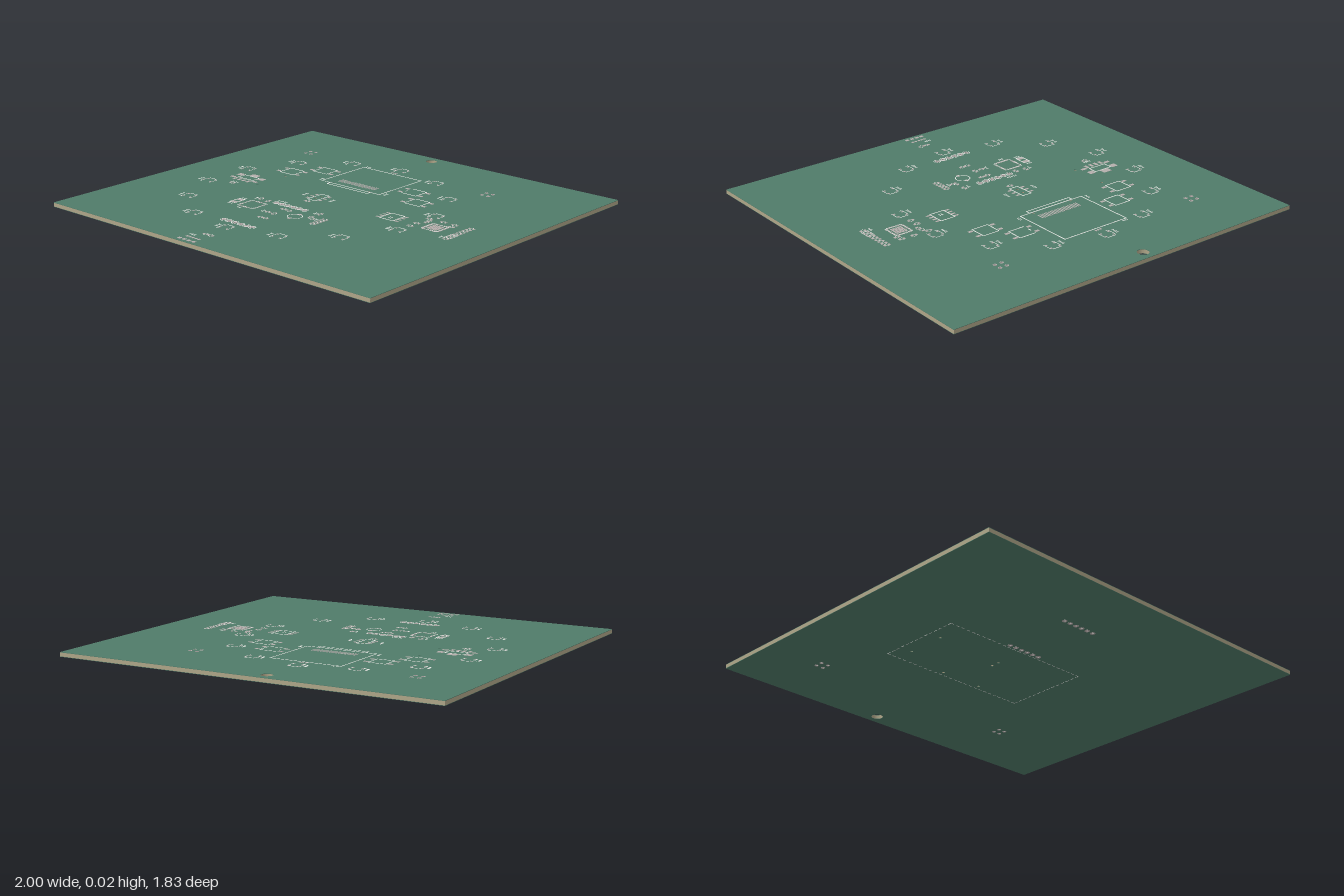
import * as THREE from 'three';

const mat = (name, color) => Object.assign(new THREE.MeshStandardMaterial({ color }), { name });
const MASK = mat('solder mask green', 0x507b69);
const CORE = mat('laminate tan', 0xaea588);
const SILK = mat('silkscreen white', 0xeef0ec);
const PAD = mat('pad metal', 0xb5aeac);

const HALF_Z = 0.917, TOP = 0.023, H = 0.0006, LINE = 0.005;
const CX = -0.105, CZ = 0.011; // centre of the light ring

function group(parent, name, x = 0, z = 0, turn = 0) {
  const g = new THREE.Group();
  g.name = name;
  g.position.set(x, 0, z);
  g.rotation.y = turn;
  parent.add(g);
  return g;
}

function mesh(parent, name, geo, material) {
  const m = new THREE.Mesh(geo, material);
  m.name = name;
  parent.add(m);
  return m;
}

// Thin plate lying on the board
function plate(g, name, material, x, z, w, d, y = TOP) {
  mesh(g, name, new THREE.BoxGeometry(w, H * 2, d), material).position.set(x, y, z);
}
const pad = (g, x, z, w, d) => plate(g, 'pad', PAD, x, z, w, d);
const line = (g, x, z, w, d) => plate(g, 'printedLine', SILK, x, z, w, d);

// Printed rectangle
function outline(g, x, z, w, d, y = TOP, t = LINE) {
  for (const s of [-1, 1]) {
    plate(g, 'printedLine', SILK, x, z + s * d / 2, w + t, t, y);
    plate(g, 'printedLine', SILK, x + s * w / 2, z, t, d, y);
  }
}

// Small block of printed dashes beside a part
function marks(g, x, z, w, d) {
  const along = d > w, n = Math.max(2, Math.round(Math.max(w, d) / 0.011));
  for (let i = 0; i < n; i++) {
    const o = (i + 0.5) / n - 0.5;
    if (along) line(g, x, z + o * d, w, 0.005);
    else line(g, x + o * w, z, 0.005, d);
  }
}

// Evenly spaced row of pads
function padRow(g, n, x, z, dx, dz, w, d) {
  for (let i = 0; i < n; i++) {
    const o = i - (n - 1) / 2;
    pad(g, x + o * dx, z + o * dz, w, d);
  }
}

// Two-pad footprint
function passive(parent, x, z, turned = false) {
  const g = group(parent, 'smallFootprint', x, z, turned ? Math.PI / 2 : 0);
  padRow(g, 2, 0, 0, 0.022, 0, 0.013, 0.015);
  for (const s of [-1, 1]) line(g, 0, s * 0.011, 0.012, 0.003);
}

function ring(g, name, material, x, z, inner, outer, y0, y1) {
  const p = [[inner, y0], [outer, y0], [outer, y1], [inner, y1], [inner, y0]];
  const m = mesh(g, name, new THREE.LatheGeometry(p.map(q => new THREE.Vector2(...q)), 24).toNonIndexed(), material);
  m.geometry.computeVertexNormals();
  m.position.set(x, 0, z);
}

// Board sheet with the drilled holes
function sheet(parent, name, material, y, thickness, holes) {
  const s = new THREE.Shape([[-1, -HALF_Z], [1, -HALF_Z], [1, HALF_Z], [-1, HALF_Z]].map(p => new THREE.Vector2(...p)));
  for (const [x, z, r] of holes) {
    s.holes.push(new THREE.Path().absarc(x, -z, r, 0, Math.PI * 2, true));
  }
  const geo = new THREE.ExtrudeGeometry(s, { depth: thickness, bevelEnabled: false, curveSegments: 16 });
  mesh(parent, name, geo.rotateX(-Math.PI / 2), material).position.y = y;
}

export function createModel() {
  const model = new THREE.Group();
  model.name = 'circuitBoard';

  // Drilled holes: mounting, locating, and plated ones
  const plain = [[CX, -0.86, 0.029], [-0.485, -0.155, 0.007], [-0.485, 0.045, 0.007],
    [-0.22, -0.227, 0.007], [0.01, -0.227, 0.007], [CX, -0.008, 0.007], [CX, 0.035, 0.007]];
  const plated = [], pins = [];
  for (const x of [-0.69, 0.477]) for (const sx of [-1, 1]) for (const sz of [-1, 1]) {
    plated.push([x + sx * 0.019, -0.568 + sz * 0.019, 0.008]);
  }
  for (const z of [0.212, 0.565]) for (let i = 0; i < 6; i++) pins.push([CX + (i - 2.5) * 0.0366, z, 0.007]);

  // Laminate and both mask layers
  const holes = [...plain, ...plated, ...pins];
  sheet(model, 'laminateCore', CORE, 0.0025, 0.0185, holes);
  sheet(model, 'topMask', MASK, 0.021, 0.002, holes);
  sheet(model, 'bottomMask', MASK, 0.0006, 0.0019, holes);

  // Plated holes and pin headers
  const barrels = group(model, 'platedHoles');
  for (const [x, z, r] of plated) ring(barrels, 'platedHole', PAD, x, z, r - 0.001, r + 0.002, 0, TOP + H);
  for (const [x, z, r] of pins) {
    ring(barrels, 'pinHole', PAD, x, z, r - 0.001, 0.013, 0, TOP + H);
    ring(barrels, 'pinOutline', SILK, x, z, 0.016, 0.019, TOP - H, TOP + H);
  }
  marks(barrels, -0.185, 0.178, 0.06, 0.014);

  // Ring of fourteen lights
  for (let i = 0; i < 14; i++) {
    const a = i * Math.PI / 7;
    const g = group(model, 'lightFootprint', CX + 0.63 * Math.sin(a), CZ - 0.63 * Math.cos(a));
    for (const sx of [-1, 1]) {
      for (const sz of [-1, 1]) pad(g, sx * 0.025, sz * 0.018, 0.014, 0.01);
      line(g, sx * 0.031, 0.004, 0.003, 0.05);
    }
    line(g, 0, -0.03, 0.05, 0.004);
    line(g, -0.025, 0.032, 0.014, 0.004);
    marks(g, -0.052, 0.004, 0.014, 0.042);
  }

  // Large connector
  const conn = group(model, 'connectorFootprint', CX, -0.38);
  outline(conn, 0, 0, 0.376, 0.322);
  outline(conn, 0, 0.174, 0.262, 0.024);
  padRow(conn, 20, 0, 0.1, 0.0121, 0, 0.0065, 0.042);
  marks(conn, -0.17, -0.175, 0.035, 0.012);
  padRow(conn, 3, 0, -0.178, 0.014, 0, 0.01, 0.013);
  for (const s of [-1, 1]) marks(conn, s * 0.21, 0.14, 0.014, 0.035);

  // Push buttons either side of the connector
  for (const [x, z] of [[-0.397, -0.36], [-0.515, -0.238], [0.187, -0.36], [0.305, -0.238]]) {
    const g = group(model, 'buttonFootprint', x, z);
    for (const s of [-1, 1]) {
      line(g, 0, s * 0.043, 0.09, LINE);
      line(g, s * 0.045, 0, LINE, x === 0.187 && s < 0 ? 0.02 : 0.086);
      padRow(g, 2, s * 0.064, 0, 0, 0.06, 0.024, 0.016);
    }
  }

  // Power socket on the left
  const power = group(model, 'powerFootprint', -0.6, -0.01);
  outline(power, 0, 0, 0.1, 0.048);
  pad(power, 0, -0.044, 0.05, 0.034);
  for (const s of [-1, 1]) {
    pad(power, s * 0.073, -0.018, 0.034, 0.032);
    pad(power, s * 0.075, 0.036, 0.032, 0.018);
  }
  padRow(power, 4, 0, 0.05, 0.03, 0, 0.016, 0.032);
  marks(power, 0, 0.1, 0.045, 0.014);
  passive(power, 0, 0.118);

  // Centre slide switch
  const slide = group(model, 'switchFootprint', CX, 0.013);
  outline(slide, 0, 0, 0.05, 0.104);
  for (const s of [-1, 1]) {
    padRow(slide, 3, s * 0.04, 0, 0, 0.032, 0.02, 0.012);
    marks(slide, s * 0.085, 0, 0.014, 0.045);
  }
  passive(slide, 0, 0.08);

  // Eight-lead chip
  const chip = group(model, 'chipFootprint', 0.363, 0.017);
  outline(chip, 0, 0, 0.08, 0.09);
  for (const s of [-1, 1]) padRow(chip, 4, s * 0.054, 0, 0, 0.025, 0.024, 0.011);
  marks(chip, 0, 0.012, 0.024, 0.02);

  // Square chips with leads on all four sides
  for (const [x, z, size, thermal] of [[0.615, 0.013, 0.09, true], [-0.263, 0.309, 0.1, false]]) {
    const g = group(model, 'squareChipFootprint', x, z);
    outline(g, 0, 0, size, size, TOP, 0.004);
    for (const s of [-1, 1]) {
      padRow(g, 8, s * size * 0.49, 0, 0, 0.01, 0.014, 0.005);
      padRow(g, 8, 0, s * size * 0.49, 0.01, 0, 0.005, 0.014);
    }
    if (thermal) for (let i = -2; i <= 2; i++) padRow(g, 5, 0, i * 0.0125, 0.0125, 0, 0.0112, 0.0112);
    else marks(g, -0.015, 0.075, 0.03, 0.012);
  }

  // Crystal and round part
  const crystal = group(model, 'crystalFootprint', -0.363, 0.31);
  outline(crystal, 0, 0, 0.036, 0.07);
  padRow(crystal, 2, 0, 0, 0, 0.045, 0.03, 0.026);
  for (const s of [-1, 1]) marks(crystal, 0, s * 0.05, 0.035, 0.014);
  const round = group(model, 'roundFootprint', 0.018, 0.313);
  ring(round, 'printedCircle', SILK, 0, 0, 0.034, 0.038, TOP - H, TOP + H);
  for (const s of [-1, 1]) pad(round, 0, s * 0.036, 0.014, 0.02);

  // Small two-pad parts; the third value turns a part
  const small = group(model, 'smallParts');
  for (const [x, z, t] of [[0.53, -0.05, 1], [0.51, -0.077], [0.594, -0.077], [0.66, -0.075],
    [0.535, -0.028, 1], [0.51, 0.017], [0.51, 0.065], [0.665, -0.045], [-0.3, 0.21, 1], [-0.245, 0.22, 1],
    [0.085, 0.21, 1], [-0.1, 0.265], [-0.065, 0.265], [-0.125, 0.345], [-0.085, 0.345, 1],
    [-0.095, 0.425], [-0.065, 0.425], [0.085, 0.275, 1], [0.1, 0.285], [-0.1, 0.775], [-0.068, 0.775]]) {
    passive(small, x, z, !!t);
  }
  for (let i = 0; i < 5; i++) passive(small, 0.157, 0.258 + i * 0.021);
  for (let i = 0; i < 9; i++) passive(small, 0.75, -0.085 + i * 0.024);
  for (const [x, z] of [[0.715, 0.1], [-0.325, 0.215], [0.06, 0.215], [-0.155, 0.345], [0.125, 0.285]]) {
    marks(small, x, z, 0.012, 0.03);
  }
  outline(small, 0.75, 0.07, 0.036, 0.05, TOP, 0.003);

  // Edge footprint near the front
  const edge = group(model, 'edgeFootprint', CX, 0.87);
  padRow(edge, 5, 0, -0.02, 0.019, 0, 0.013, 0.014);
  padRow(edge, 4, 0, 0.02, 0.03, 0, 0.02, 0.018);
  marks(edge, -0.035, -0.052, 0.04, 0.014);

  // Dashed rectangle printed underneath
  const under = group(model, 'undersideOutline', -0.135, -0.03);
  for (const s of [-1, 1]) {
    for (let i = 0; i < 26; i++) plate(under, 'dash', SILK, (i - 12.5) * 0.0325, s * 0.222, 0.02, 0.003, H);
    for (let i = 0; i < 14; i++) plate(under, 'dash', SILK, s * 0.415, (i - 6.5) * 0.0325, 0.003, 0.02, H);
  }
  return model;
}
